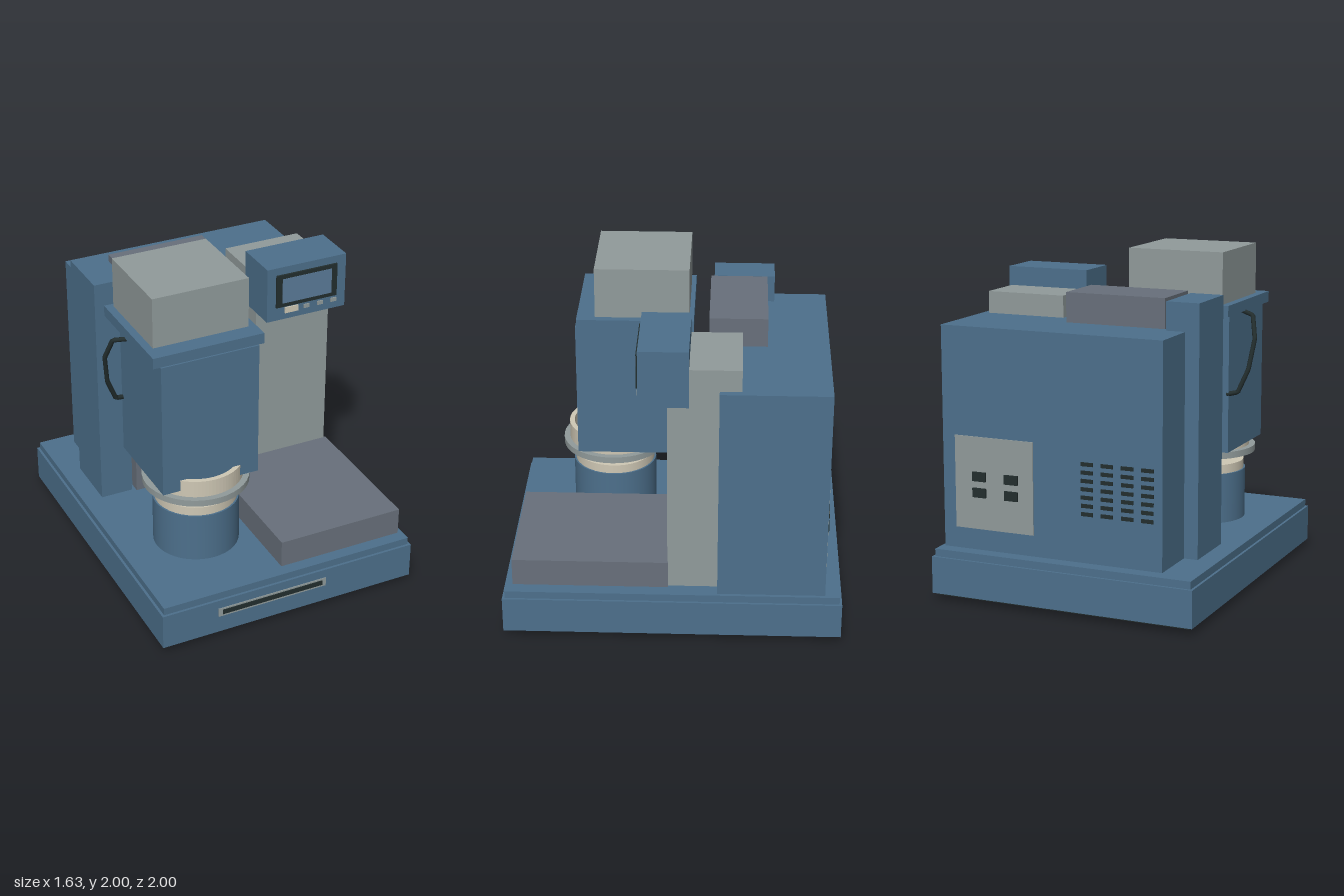
import * as THREE from 'three';

const material = (name, color) => {
  const m = new THREE.MeshStandardMaterial({ color });
  m.name = name;
  return m;
};

export function createModel() {
  const root = new THREE.Group();
  root.name = 'benchMachine';
  const blue = material('steel blue', 0x4d708c);
  const slate = material('slate grey', 0x68707b);
  const grey = material('pale grey', 0x919b9b);
  const cream = material('cream', 0xcfc8b5);
  const dark = material('near black', 0x232e2e);
  const screenBlue = material('screen blue', 0x5b7b99);

  const add = (name, geometry, mat, parent = root) => {
    const mesh = new THREE.Mesh(geometry, mat);
    mesh.name = name;
    parent.add(mesh);
    return mesh;
  };
  // Box given by its limits on each axis
  const box = (name, mat, [x0, x1], [y0, y1], [z0, z1], parent) => {
    const mesh = add(name, new THREE.BoxGeometry(x1 - x0, y1 - y0, z1 - z0), mat, parent);
    mesh.position.set((x0 + x1) / 2, (y0 + y1) / 2, (z0 + z1) / 2);
    return mesh;
  };
  // Upright cylinder given by its centre, radius and height limits
  const cyl = (name, mat, x, z, r, y0, y1, parent, sides = 40) => {
    const mesh = add(name, new THREE.CylinderGeometry(r, r, y1 - y0, sides), mat, parent);
    mesh.position.set(x, (y0 + y1) / 2, z);
    return mesh;
  };

  // Base
  box('base', blue, [-0.815, 0.815], [0.04, 0.26], [-1, 0.99]);
  box('plinth', blue, [-0.8, 0.8], [0.26, 0.305], [-0.985, 0.975]);
  box('underside', dark, [-0.79, 0.79], [0.025, 0.04], [-0.97, 0.965]);
  for (const x of [-0.6, 0.6]) {
    for (const z of [-0.78, 0.78]) cyl('foot', dark, x, z, 0.06, 0, 0.03, root, 24);
  }
  box('slotFrame', grey, [-0.465, 0.235], [0.15, 0.205], [0.987, 0.995]);
  box('slot', dark, [-0.44, 0.21], [0.164, 0.194], [0.992, 1]);

  // Rear cabinet and columns
  box('cabinet', blue, [-0.595, 0.78], [0.305, 1.61], [-0.9, -0.27]);
  box('sideColumn', blue, [-0.68, -0.48], [0.305, 1.775], [-0.585, -0.22]);
  box('spine', slate, [-0.455, 0.16], [0.305, 1.785], [-0.54, -0.2]);
  box('paleColumn', grey, [0.25, 0.74], [0.33, 1.74], [-0.395, 0.022]);
  box('tray', slate, [-0.03, 0.755], [0.328, 0.495], [0.018, 0.93]);

  // Back panel with sockets, and the vent grid
  const back = new THREE.Group();
  back.name = 'backDetails';
  root.add(back);
  box('socketPanel', grey, [0.2, 0.7], [0.43, 0.975], [-0.906, -0.898], back);
  for (const x of [0.295, 0.5]) {
    for (const y of [0.62, 0.715]) {
      box('socket', dark, [x, x + 0.085], [y, y + 0.055], [-0.918, -0.9], back);
    }
  }
  for (let col = 0; col < 4; col++) {
    for (let row = 0; row < 7; row++) {
      const x = -0.543 + col * 0.123, y = 0.58 + row * 0.048;
      box('vent', dark, [x, x + 0.073], [y, y + 0.022], [-0.907, -0.898], back);
    }
  }

  // Control display
  const display = new THREE.Group();
  display.name = 'display';
  root.add(display);
  box('displayHousing', blue, [0.238, 0.757], [1.513, 1.855], [-0.1, 0.185], display);
  box('screenBezel', dark, [0.295, 0.695], [1.6, 1.808], [0.18, 0.197], display);
  box('screen', screenBlue, [0.332, 0.657], [1.625, 1.783], [0.193, 0.2], display);
  box('mainButton', cream, [0.355, 0.442], [1.552, 1.59], [0.183, 0.192], display);
  for (const x of [0.48, 0.57, 0.66]) {
    box('button', grey, [x, x + 0.038], [1.558, 1.582], [0.183, 0.192], display);
  }

  // Head, cap and hopper
  box('head', blue, [-0.625, -0.02], [0.795, 1.63], [0.022, 0.595]);
  box('headCap', blue, [-0.667, 0.015], [1.63, 1.695], [-0.107, 0.585]);
  box('hopper', grey, [-0.62, -0.03], [1.695, 2], [-0.08, 0.477]);

  // Segmented handle bar on the side of the head
  const bar = new THREE.CurvePath();
  const points = [
    [-0.61, 1.632, 0.22], [-0.725, 1.61, 0.15], [-0.757, 1.48, 0.1],
    [-0.732, 1.3, 0.065], [-0.675, 1.163, 0.045], [-0.61, 1.148, 0.03],
  ].map((p) => new THREE.Vector3(...p));
  for (let i = 1; i < points.length; i++) bar.add(new THREE.LineCurve3(points[i - 1], points[i]));
  add('handle', new THREE.TubeGeometry(bar, 48, 0.014, 8), dark);

  // Working head: hollow collar on a flange, with pins down to the cup
  const cx = -0.326, cz = 0.391;
  const collarShape = new THREE.Shape().absarc(0, 0, 0.28, 0, Math.PI * 2);
  collarShape.holes.push(new THREE.Path().absarc(0, 0, 0.25, 0, Math.PI * 2, true));
  const collar = add('collar', new THREE.ExtrudeGeometry(collarShape,
    { depth: 0.105, bevelEnabled: false, curveSegments: 40 }), cream);
  collar.rotation.x = -Math.PI / 2;
  collar.position.set(cx, 0.76, cz);
  cyl('flange', grey, cx, cz, 0.317, 0.72, 0.76);
  cyl('shaft', grey, cx, cz, 0.03, 0.66, 0.725, root, 20);
  for (const dx of [-0.115, 0.115]) cyl('pin', grey, cx + dx, cz, 0.016, 0.66, 0.725, root, 16);
  cyl('cupRim', cream, cx, cz, 0.247, 0.605, 0.665);
  cyl('cup', blue, cx, cz, 0.257, 0.305, 0.61);

  return root;
}
